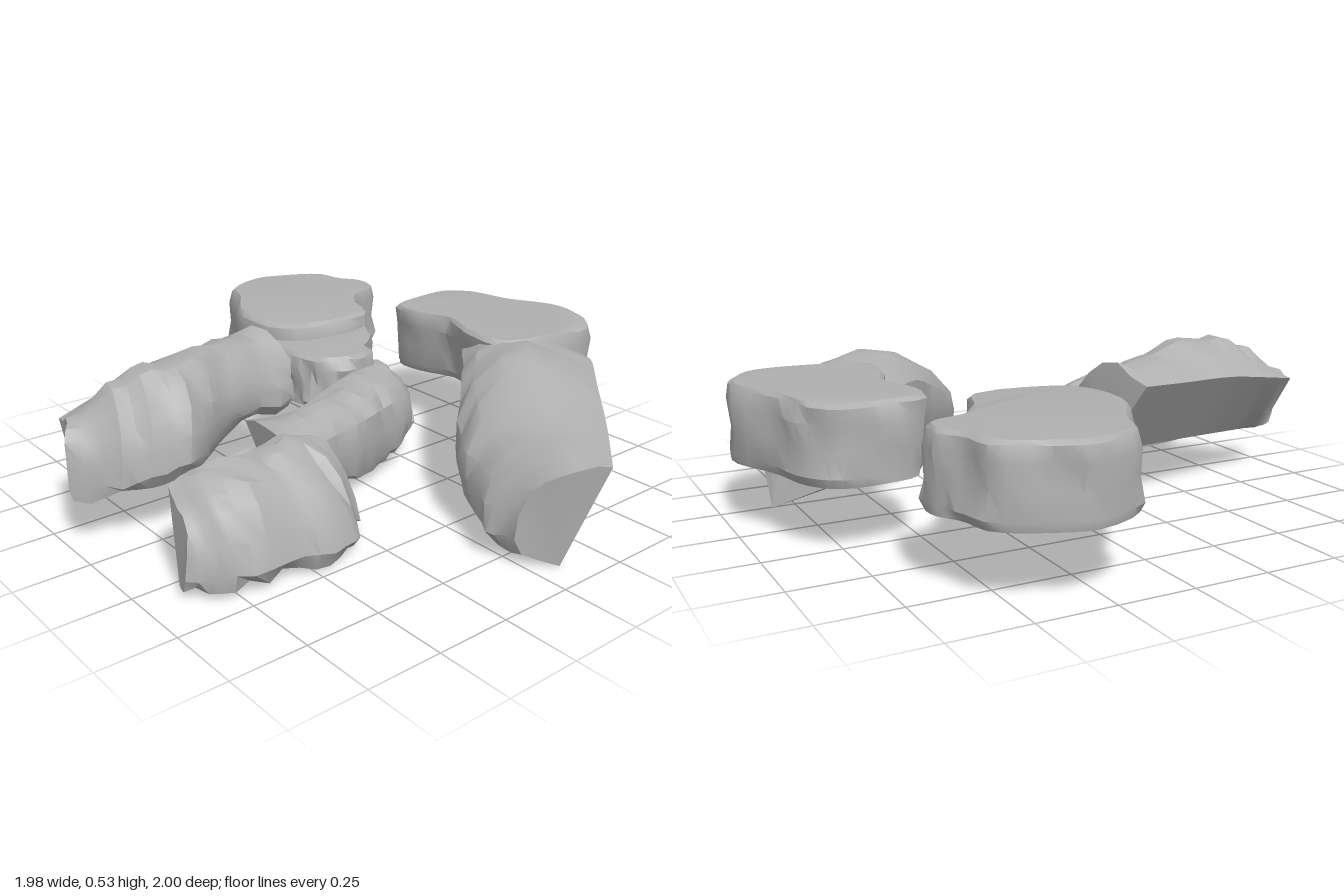
import * as THREE from 'three';
import { toCreasedNormals, mergeVertices } from 'three/addons/utils/BufferGeometryUtils.js';

const stone = new THREE.MeshStandardMaterial({ color: 0xb0b0b0 });
stone.name = 'greyStone';

const V = (x, y, z) => new THREE.Vector3(x, y, z);

// repeatable roughness in -1..1 from two grid indices
function rough(i, j, seed) {
  const s = Math.sin(i * 127.1 + j * 311.7 + seed * 74.7) * 43758.5453;
  return (s - Math.floor(s)) * 2 - 1;
}

// closed skin from equal loops; lids at both ends; corners turned outward
function skin(loops, lid) {
  const tris = [];
  const n = loops[0].length;
  for (let i = 0; i + 1 < loops.length; i++) {
    for (let j = 0; j < n; j++) {
      const k = (j + 1) % n;
      const a = loops[i][j], b = loops[i][k], c = loops[i + 1][k], d = loops[i + 1][j];
      tris.push([a, b, c], [a, c, d]);
    }
  }
  const first = loops[0], last = loops[loops.length - 1];
  lid(first).forEach(([a, b, c]) => tris.push([first[c], first[b], first[a]]));
  lid(last).forEach(([a, b, c]) => tris.push([last[a], last[b], last[c]]));
  const volume = tris.reduce((s, [a, b, c]) => s + a.dot(V(0, 0, 0).crossVectors(b, c)), 0);
  const points = tris.flatMap((t) => (volume < 0 ? [t[0], t[2], t[1]] : t));
  const g = new THREE.BufferGeometry().setFromPoints(points);
  return toCreasedNormals(mergeVertices(g, 1e-5), 0.6);
}

// ridge rock: stations of five points; the first two bound the smooth split face
function ridgeRock(name, table, seed, amount) {
  const stations = [];
  for (let i = 0; i < table.length; i += 15) {
    const s = [];
    for (let j = 0; j < 15; j += 3) s.push(V(table[i + j], table[i + j + 1], table[i + j + 2]));
    stations.push(s);
  }
  const rails = [0, 1, 2, 3, 4].map((j) =>
    new THREE.CatmullRomCurve3(stations.map((s) => s[j]), false, 'centripetal'));
  const steps = (stations.length - 1) * 4, around = 10;
  const loops = [];
  for (let i = 0; i <= steps; i++) {
    const p = rails.map((r) => r.getPoint(i / steps));
    const face = new THREE.CatmullRomCurve3([p[1], p[2], p[3], p[4], p[0]], false, 'centripetal');
    const centre = p.reduce((s, q) => s.add(q), V(0, 0, 0)).multiplyScalar(0.2);
    const loop = [p[0].clone()];
    for (let j = 0; j < around; j++) {
      const q = face.getPoint(j / around);
      // broken side only: leave the split face clean
      if (j > 0) {
        const out = q.clone().sub(centre).normalize();
        q.addScaledVector(out, amount * rough(i, j >> 1, seed));
        q.y = Math.max(q.y, 0);
      }
      loop.push(q);
    }
    loops.push(loop);
  }
  const fan = (loop) => loop.slice(2).map((_, i) => [0, i + 1, i + 2]);
  const mesh = new THREE.Mesh(skin(loops, fan), stone);
  mesh.name = name;
  return mesh;
}

// lid of a bent outline, its triangles following the outline's direction
function flatLid(loop) {
  const flat = loop.map((p) => new THREE.Vector2(p.x, p.z));
  return THREE.ShapeUtils.triangulateShape(flat, []).map(([a, b, c]) =>
    ((b > a) + (c > b) + (a > c) === 2 ? [a, b, c] : [a, c, b]));
}

// flat-topped slab: outline in x, z with a chipped wall; lean moves the underside
function slab(name, outline, bottom, top, seed, lean = 0) {
  const pts = [];
  for (let i = 0; i < outline.length; i += 2) pts.push(V(outline[i], 0, outline[i + 1]));
  const ring = new THREE.CatmullRomCurve3(pts, true, 'centripetal').getPoints(40).slice(0, 40);
  const centre = ring.reduce((s, q) => s.add(q), V(0, 0, 0)).multiplyScalar(1 / 40);
  // height share and inset of each level
  const levels = [[0, 0.012], [0.12, 0], [0.42, 0.012], [0.75, 0.006], [0.95, 0.015], [1, 0.035]];
  const loops = levels.map(([h, inset], i) => ring.map((q, j) => {
    const out = q.clone().sub(centre).normalize();
    const chip = i > 0 && i < 5 ? 0.01 * rough(i, j >> 1, seed) - 0.004 : 0;
    const p = q.clone().addScaledVector(out, chip - inset);
    // undercut only the side away from +x
    p.x += lean * (1 - h) * Math.max(0, -out.x);
    p.y = bottom + h * (top - bottom);
    return p;
  }));
  const mesh = new THREE.Mesh(skin(loops, flatLid), stone);
  mesh.name = name;
  return mesh;
}

export function createModel() {
  const group = new THREE.Group();
  group.name = 'rockOutcrop';

  // flat-topped slabs
  group.add(
    slab('backSlab', [0.3, -1, 0.42, -0.97, 0.57, -0.88, 0.6, -0.77, 0.65, -0.68, 0.64, -0.6,
      0.5, -0.54, 0.42, -0.43, 0.36, -0.31, 0.1, -0.31, -0.02, -0.4, -0.035, -0.62,
      0.08, -0.82, 0.13, -0.93], 0.215, 0.455, 1),
    slab('smallSlab', [-0.03, -0.42, 0.2, -0.45, 0.38, -0.4, 0.35, -0.27, 0.24, -0.16,
      0.18, -0.06, 0.05, -0.07, -0.04, -0.13, -0.07, -0.24], 0.22, 0.4, 2),
    slab('rightSlab', [0.48, -0.32, 0.65, -0.36, 0.78, -0.35, 0.86, -0.27, 0.91, -0.1,
      0.99, 0.1, 0.96, 0.23, 0.88, 0.33, 0.7, 0.35, 0.46, 0.28, 0.46, 0.1,
      0.5, -0.05, 0.465, -0.2], 0.215, 0.462, 3, 0.06),
  );

  // each row: split face bottom, split face top, crest, shoulder, foot
  group.add(ridgeRock('frontRightRock', [
    0.09, 0, 0.9, 0.17, 0.34, 1, 0.08, 0.33, 0.93, 0, 0.25, 0.84, -0.02, 0.06, 0.82,
    0.25, 0.01, 0.74, 0.39, 0.35, 0.8, 0.2, 0.39, 0.68, 0.02, 0.25, 0.64, -0.03, 0.07, 0.7,
    0.45, 0.02, 0.53, 0.59, 0.37, 0.6, 0.4, 0.48, 0.4, 0.09, 0.28, 0.46, 0.1, 0.1, 0.5,
    0.66, 0.03, 0.32, 0.76, 0.38, 0.43, 0.55, 0.46, 0.25, 0.3, 0.38, 0.26, 0.35, 0.1, 0.3,
    0.86, 0.04, 0.12, 0.87, 0.33, 0.28, 0.75, 0.42, 0.1, 0.48, 0.38, 0.07, 0.6, 0.12, 0.08,
  ], 4, 0.012));

  group.add(ridgeRock('backLeftRock', [
    -0.95, 0.16, -0.12, -0.93, 0.37, -0.28, -0.94, 0.39, -0.2, -0.98, 0.34, -0.14, -0.99, 0.17, -0.11,
    -0.75, 0.17, -0.16, -0.75, 0.4, -0.33, -0.76, 0.5, -0.16, -0.8, 0.38, -0.02, -0.82, 0.19, 0,
    -0.58, 0.18, -0.2, -0.6, 0.42, -0.36, -0.6, 0.53, -0.14, -0.63, 0.42, 0.01, -0.66, 0.22, 0.04,
    -0.35, 0.19, -0.25, -0.38, 0.43, -0.405, -0.36, 0.51, -0.21, -0.42, 0.38, -0.08, -0.42, 0.26, -0.1,
    -0.13, 0.2, -0.3, -0.2, 0.44, -0.445, -0.15, 0.49, -0.3, -0.11, 0.4, -0.19, -0.12, 0.25, -0.15,
  ], 5, 0.015));

  group.add(ridgeRock('frontLeftRock', [
    -0.87, 0.02, 0.3, -0.83, 0.29, 0.2, -0.84, 0.27, 0.25, -0.86, 0.2, 0.34, -0.89, 0.04, 0.36,
    -0.75, 0.02, 0.27, -0.75, 0.31, 0.19, -0.75, 0.32, 0.26, -0.77, 0.25, 0.38, -0.77, 0.05, 0.45,
    -0.55, 0.02, 0.26, -0.57, 0.31, 0.19, -0.55, 0.33, 0.27, -0.55, 0.24, 0.42, -0.55, 0.04, 0.48,
    -0.4, 0.04, 0.25, -0.39, 0.32, 0.18, -0.4, 0.33, 0.25, -0.38, 0.24, 0.4, -0.36, 0.03, 0.48,
    -0.26, 0.06, 0.27, -0.33, 0.3, 0.2, -0.3, 0.29, 0.25, -0.26, 0.2, 0.3, -0.24, 0.03, 0.35,
  ], 6, 0.02));

  group.add(ridgeRock('middleRock', [
    -0.37, 0.08, 0.07, -0.37, 0.28, -0.08, -0.39, 0.31, 0.1, -0.4, 0.27, 0.22, -0.4, 0.08, 0.2,
    -0.25, 0.07, 0.08, -0.25, 0.3, 0, -0.25, 0.33, 0.1, -0.25, 0.27, 0.2, -0.25, 0.07, 0.18,
    -0.05, 0.06, 0.06, -0.05, 0.33, -0.04, -0.04, 0.34, 0.06, -0.04, 0.27, 0.15, -0.05, 0.06, 0.13,
    0.1, 0.05, 0.02, 0.14, 0.35, -0.1, 0.12, 0.35, 0, 0.11, 0.27, 0.1, 0.11, 0.06, 0.09,
    0.2, 0.08, -0.1, 0.22, 0.32, -0.2, 0.24, 0.34, -0.1, 0.25, 0.25, 0.04, 0.23, 0.1, 0.05,
    0.27, 0.11, -0.17, 0.29, 0.3, -0.24, 0.31, 0.29, -0.17, 0.33, 0.22, -0.08, 0.29, 0.12, 0.02,
  ], 7, 0.012));

  return group;
}
